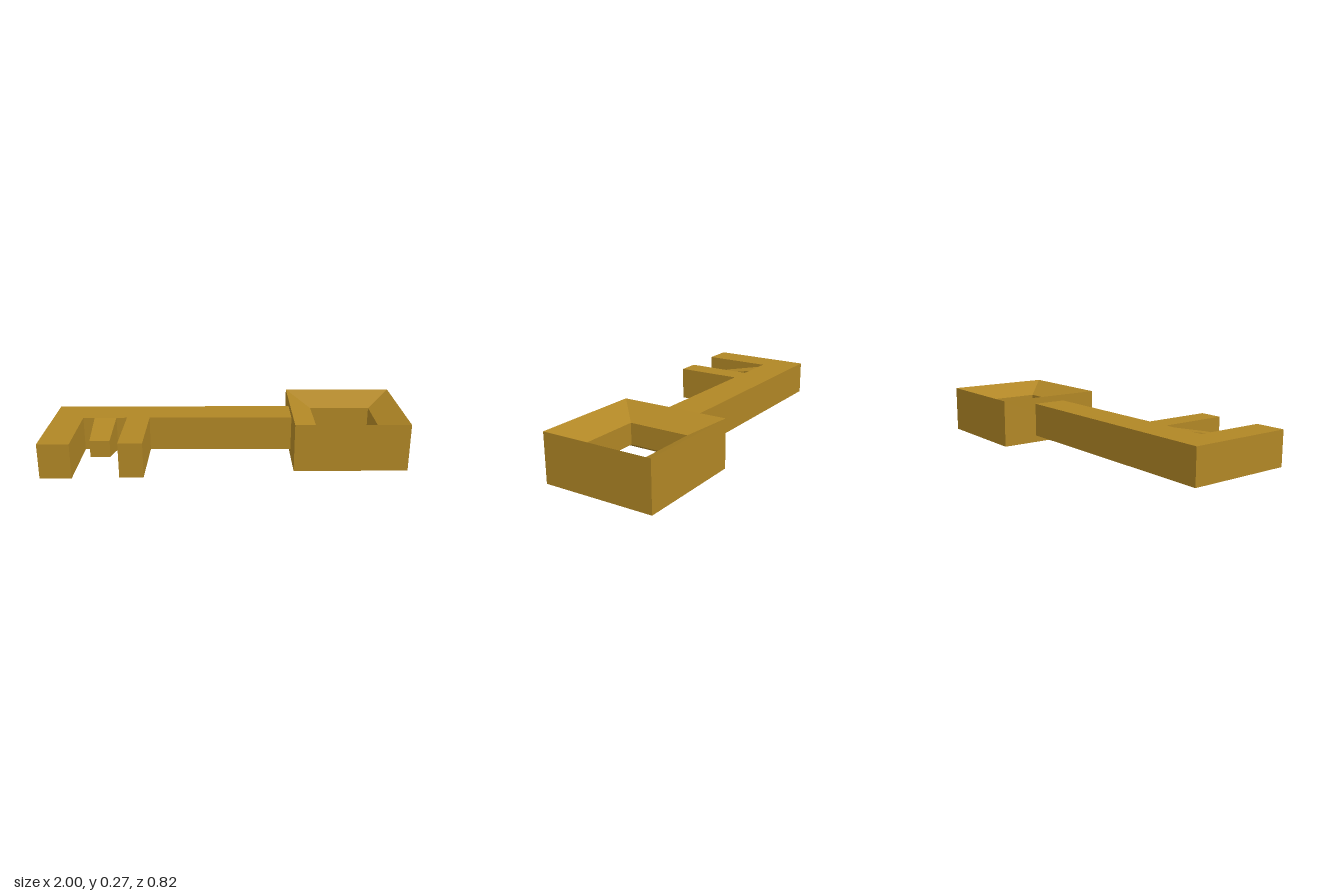
import * as THREE from 'three';

export function createModel() {
  const group = new THREE.Group();
  const brass = new THREE.MeshStandardMaterial({ color: 0xb08625, flatShading: true });
  brass.name = 'brass';

  const add = (name, geometry, x, y, z) => {
    const mesh = new THREE.Mesh(geometry, brass);
    mesh.name = name;
    mesh.position.set(x, y, z);
    group.add(mesh);
    return mesh;
  };
  // box given by its x and z limits, all as thick as the shaft
  const bottom = 0.04, top = 0.235;
  const bar = (name, x0, x1, z0, z1) =>
    add(name, new THREE.BoxGeometry(x1 - x0, top - bottom, z1 - z0),
      (x0 + x1) / 2, (bottom + top) / 2, (z0 + z1) / 2);

  // square ring handle with faces sloping in towards the hole
  const outer = 0.3175 * Math.SQRT2, inner = 0.1775 * Math.SQRT2;
  const profile = [[outer, 0], [outer, 0.272], [inner, 0.197], [inner, 0.075], [outer, 0]]
    .map(([r, y]) => new THREE.Vector2(r, y));
  add('handleRing', new THREE.LatheGeometry(profile, 4, Math.PI / 4), 0.6825, 0, -0.095);

  // shaft and the two long teeth
  bar('shaft', -1, 0.37, -0.2, 0);
  bar('endTooth', -1, -0.83, 0, 0.405);
  bar('innerTooth', -0.58, -0.45, 0, 0.39);

  // short middle tooth, tapering to its tip
  const tooth = bar('middleTooth', -0.765, -0.64, 0, 0.23);
  const p = tooth.geometry.attributes.position;
  for (let i = 0; i < p.count; i++) {
    if (p.getZ(i) > 0) p.setXY(i, p.getX(i) * 0.88, p.getY(i) * 0.49);
  }
  tooth.geometry.computeVertexNormals();

  return group;
}
